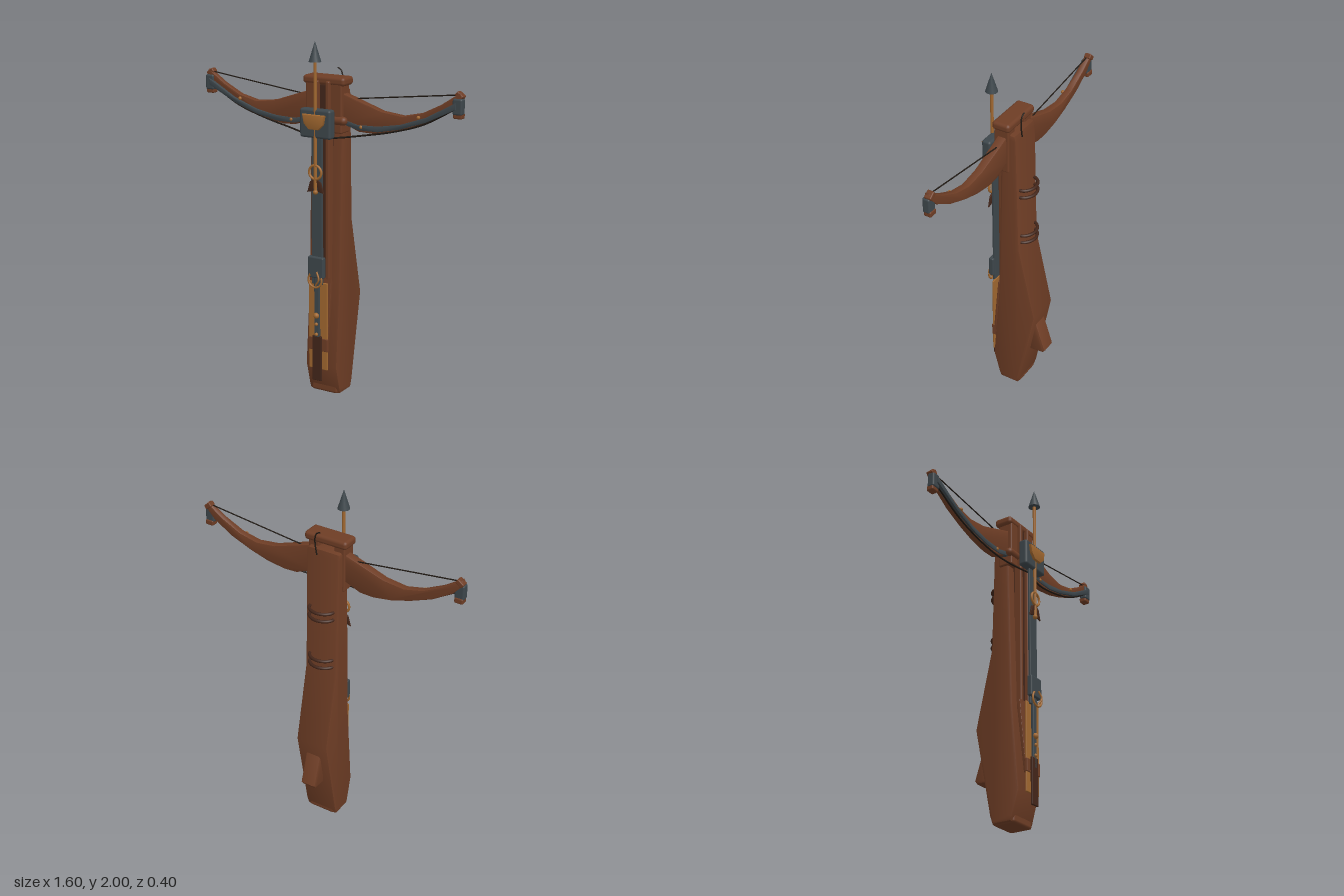
import * as THREE from 'three';
import { RoundedBoxGeometry } from 'three/addons/geometries/RoundedBoxGeometry.js';
import { toCreasedNormals } from 'three/addons/utils/BufferGeometryUtils.js';

const mat = (color) => new THREE.MeshStandardMaterial({ color, side: THREE.DoubleSide });
const wood = mat(0x6e3d25), darkWood = mat(0x43261a), lightWood = mat(0xa0672f);
const steel = mat(0x3d464b), cord = mat(0x1f1812);

export function createModel() {
  const model = new THREE.Group();
  const add = (name, geometry, material, x = 0, y = 0, z = 0) => {
    const mesh = new THREE.Mesh(geometry, material);
    mesh.name = name;
    mesh.position.set(x, y, z);
    model.add(mesh);
    return mesh;
  };
  // Rounded box given by its ranges on each axis
  const box = (name, material, [x0, x1], [y0, y1], [z0, z1], r = 0.008) => {
    const size = [x1 - x0, y1 - y0, z1 - z0];
    const geometry = new RoundedBoxGeometry(...size, 2, Math.min(r, Math.min(...size) * 0.45));
    return add(name, geometry, material, (x0 + x1) / 2, (y0 + y1) / 2, (z0 + z1) / 2);
  };
  // Bevelled plate; the outline stays at its drawn size
  const plate = (points, depth, bevel) => {
    const shape = new THREE.Shape(points.map(([a, b]) => new THREE.Vector2(a, b)));
    const geometry = new THREE.ExtrudeGeometry(shape, {
      depth: depth - 2 * bevel, bevelThickness: bevel, bevelSize: bevel, bevelOffset: -bevel, bevelSegments: 2,
    });
    geometry.translate(0, 0, bevel - depth / 2);
    return toCreasedNormals(geometry, 0.6);
  };
  // Side profile (z, y) given a width across x
  const sidePlate = (name, points, width, bevel, material) => {
    add(name, plate(points, width, bevel), material).rotation.y = -Math.PI / 2;
  };
  const tube = (name, points, radius, material, segments = 24) => {
    const curve = new THREE.CatmullRomCurve3(points.map((p) => new THREE.Vector3(...p)));
    return add(name, new THREE.TubeGeometry(curve, segments, radius, 8), material);
  };

  // Stock, butt band and grip
  sidePlate('stock', [[-0.045, 0.005], [0.07, 0.005], [0.08, 0.03], [0.117, 0.17], [0.078, 0.66], [0.056, 1.55],
    [0.05, 1.73], [-0.03, 1.73], [-0.037, 1.7], [-0.055, 1.0], [-0.155, 0.55], [-0.06, 0.05]], 0.2, 0.012, wood);
  box('buttCap', wood, [-0.085, 0.085], [0, 0.055], [-0.053, 0.083], 0.015);
  sidePlate('grip', [[-0.1, 0.26], [-0.185, 0.268], [-0.197, 0.285], [-0.14, 0.46], [-0.11, 0.5], [-0.08, 0.45]],
    0.095, 0.012, wood);

  // Grooved rail and its slanted tail
  box('railBase', darkWood, [-0.045, 0.045], [0.64, 1.76], [0.05, 0.085]);
  for (const s of [-1, 1]) {
    box('railSide', wood, s > 0 ? [0.022, 0.047] : [-0.047, -0.022], [0.64, 1.78], [0.06, 0.107]);
    box('headCheek', wood, s > 0 ? [0.047, 0.112] : [-0.112, -0.047], [1.5, 1.77], [0, 0.088]);
  }
  sidePlate('railTail', [[0.145, 0.27], [0.128, 0.27], [0.085, 0.66], [0.106, 0.69]], 0.12, 0.004, wood);
  box('headCap', wood, [-0.13, 0.13], [1.755, 1.803], [-0.015, 0.092], 0.018);

  // Cross pin with round ends
  const pin = add('crossPin', new THREE.CapsuleGeometry(0.024, 0.235, 6, 16), wood, 0, 1.57, 0.078);
  pin.rotation.z = Math.PI / 2;

  // Bow limbs, steel strips, tips and strings
  for (const s of [-1, 1]) {
    const top = [[0, 1.73], [0.11, 1.715], [0.2, 1.685], [0.34, 1.638], [0.46, 1.625], [0.57, 1.65], [0.68, 1.705],
      [0.785, 1.775]];
    const bottom = [[0.8, 1.75], [0.74, 1.685], [0.625, 1.615], [0.5, 1.565], [0.39, 1.532], [0.28, 1.515],
      [0.2, 1.518], [0.11, 1.555], [0, 1.56]];
    const limb = [...top, ...bottom].map(([x, y]) => [x * s, y]);
    const limbGeometry = plate(limb, 0.056, 0.008);
    const p = limbGeometry.attributes.position;
    for (let i = 0; i < p.count; i++) {
      const t = Math.abs(p.getX(i)) / 0.8;
      p.setZ(i, p.getZ(i) * (1 - 0.4 * t) - 0.01 * t);
    }
    add('limb', toCreasedNormals(limbGeometry, 0.6), wood, 0, 0, 0.04);

    const strip = [[0.1, 1.58], [0.2, 1.555], [0.32, 1.558], [0.45, 1.58], [0.6, 1.632], [0.77, 1.725],
      [0.77, 1.69], [0.6, 1.606], [0.45, 1.555], [0.32, 1.528], [0.2, 1.527], [0.1, 1.553]];
    add('limbStrip', plate(strip.map(([x, y]) => [x * s, y]), 0.03, 0.004), steel, 0, 0, 0.052);
    for (const [x, y] of [[0.22, 1.545], [0.56, 1.63]]) {
      add('limbStud', new THREE.SphereGeometry(0.01, 10, 8), lightWood, x * s, y, 0.064);
    }
    const range = (a, b) => (s > 0 ? [a, b] : [-b, -a]);
    box('tipBlock', steel, range(0.747, 0.802), [1.66, 1.745], [0.015, 0.058], 0.01);
    box('tipFoot', wood, range(0.75, 0.8), [1.64, 1.672], [0.01, 0.053], 0.008);
    const nock = box('nock', wood, range(0.755, 0.8), [1.745, 1.772], [0.005, 0.045], 0.006);
    nock.rotation.z = -0.65 * s;

    tube('upperString', [[s * 0.78, 1.763, 0.03], [s * 0.05, 1.675, 0.03]], 0.0035, cord, 2);
    tube('lowerString', [[s * 0.76, 1.69, 0.045], [s * 0.58, 1.592, 0.05], [s * 0.4, 1.536, 0.055],
      [s * 0.22, 1.5, 0.07], [s * 0.1, 1.482, 0.1], [0, 1.475, 0.13]], 0.005, cord);
  }

  // Long front bar, slider and lever plates
  box('frontBar', steel, [-0.034, 0.034], [0.66, 1.55], [0.143, 0.158], 0.004);
  box('lowerBar', steel, [-0.016, 0.016], [0.3, 0.72], [0.147, 0.163], 0.004);
  box('leverPlate', lightWood, [-0.06, 0.06], [0.16, 0.67], [0.137, 0.148], 0.004);
  box('leverBand', wood, [-0.062, 0.062], [0.27, 0.345], [0.135, 0.152], 0.004);
  box('leverHandle', darkWood, [-0.029, 0.029], [0.095, 0.36], [0.15, 0.163], 0.004);
  box('slider', steel, [-0.05, 0.05], [0.7, 0.82], [0.145, 0.176], 0.008);
  for (const y of [0.48, 0.43, 0.37]) {
    add('leverStud', new THREE.SphereGeometry(y > 0.45 ? 0.017 : 0.01, 12, 8), lightWood, 0, y, 0.165);
  }

  // Steel head block with its faceted plate
  box('headBlock', steel, [-0.096, 0.096], [1.48, 1.638], [0.123, 0.178], 0.014);
  const badge = [[-0.07, 1.61], [-0.06, 1.56], [-0.03, 1.53], [0.03, 1.53], [0.06, 1.56], [0.07, 1.61]];
  add('headPlate', plate(badge, 0.025, 0.005), lightWood, 0, 0, 0.182);

  // Rings hanging along the bar
  add('upperRing', new THREE.TorusGeometry(0.038, 0.007, 8, 28), lightWood, 0, 1.295, 0.172);
  const lowerRing = add('lowerRing', new THREE.TorusGeometry(0.042, 0.006, 8, 24, 4.4), lightWood, 0, 0.69, 0.178);
  lowerRing.rotation.z = 2.3;
  tube('ringHook', [[0.005, 0.66, 0.18], [0.03, 0.7, 0.188], [0.012, 0.74, 0.18]], 0.005, lightWood, 12);

  // Bolt: shaft, point and fletching
  add('boltShaft', new THREE.CylinderGeometry(0.009, 0.009, 0.73, 12), lightWood, 0, 1.545, 0.17);
  add('boltPoint', new THREE.ConeGeometry(0.034, 0.11, 16), steel, 0, 1.945, 0.17);
  add('boltNock', new THREE.SphereGeometry(0.014, 12, 8), lightWood, 0, 1.185, 0.17);
  for (const s of [-1, 1]) {
    const vane = [[0.006 * s, 1.26], [0.035 * s, 1.24], [0.052 * s, 1.18], [0.015 * s, 1.19]];
    add('fletching', plate(vane, 0.008, 0.002), darkWood, 0, 0, 0.168);
  }

  // Back guard loops and sight hook
  for (const y of [1.04, 1.085, 1.34, 1.385]) {
    tube('guardLoop', [[-0.075, y, -0.035], [-0.068, y, -0.065], [-0.04, y, -0.09], [0, y, -0.1],
      [0.04, y, -0.09], [0.068, y, -0.065], [0.075, y, -0.035]], 0.009, darkWood);
  }
  tube('sightHook', [[0.035, 1.7, -0.037], [0.045, 1.76, -0.037], [0.045, 1.8, -0.037], [0.035, 1.825, -0.037],
    [0.015, 1.835, -0.037]], 0.004, cord, 16);
  return model;
}
